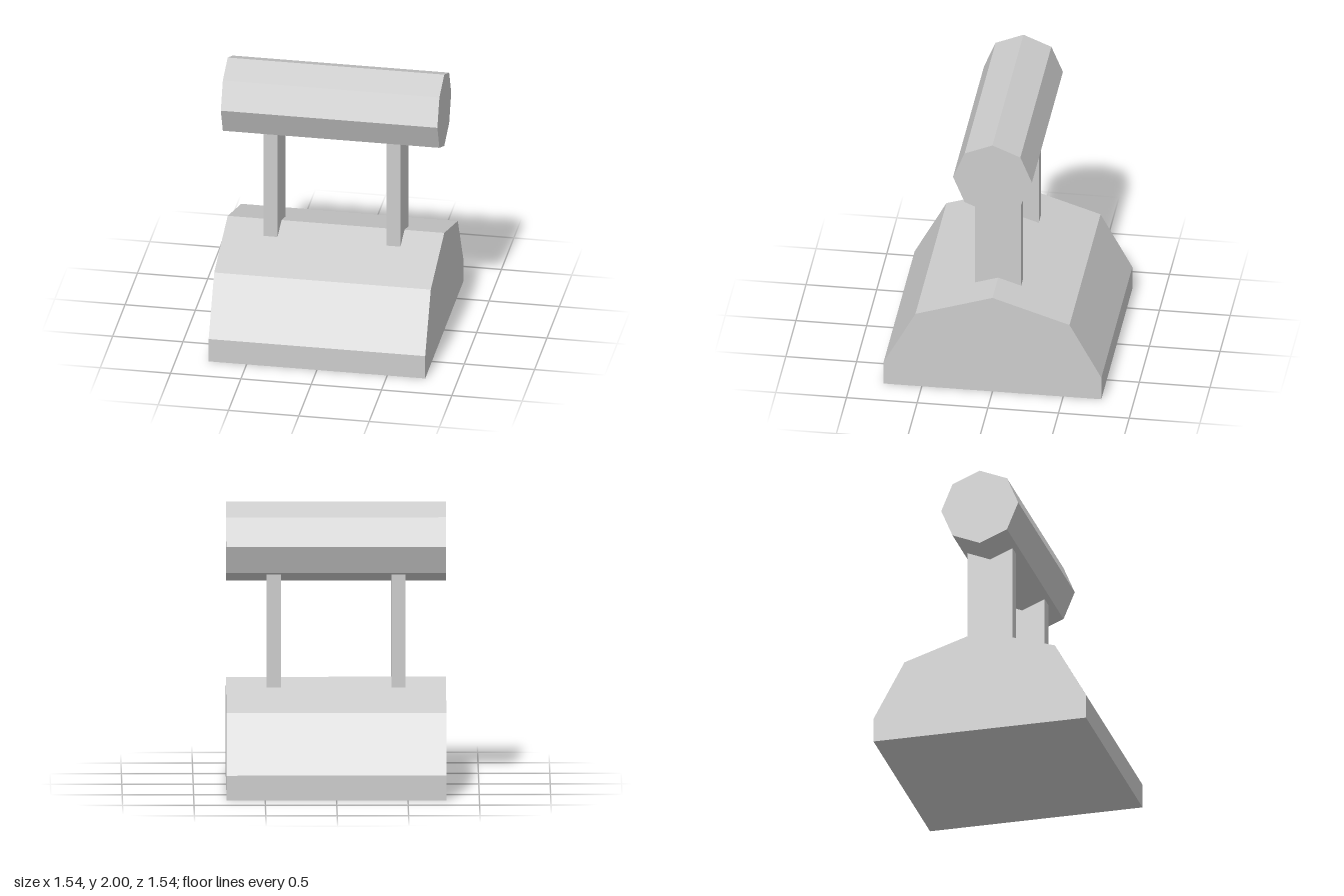
import * as THREE from 'three';

const WIDTH = 1.54;

export function createModel() {
  const model = new THREE.Group();
  const material = new THREE.MeshStandardMaterial({ color: 0xcccccc, flatShading: true });
  const add = (name, geometry, x, y, z) => {
    const mesh = new THREE.Mesh(geometry, material);
    mesh.name = name;
    mesh.position.set(x, y, z);
    model.add(mesh);
  };

  // Base: a faceted hump profile, mirrored front to back and extruded across the width
  const half = [[0.77, 0], [0.77, 0.175], [0.545, 0.585]];
  const mirrored = half.map(([z, y]) => [-z, y]).reverse();
  const profile = [...half, [0, 0.76], ...mirrored].map(([z, y]) => new THREE.Vector2(z, y));
  const base = new THREE.ExtrudeGeometry(new THREE.Shape(profile), { depth: WIDTH, bevelEnabled: false });
  base.translate(0, 0, -WIDTH / 2).rotateY(Math.PI / 2);
  add('base', base, 0, 0, 0);

  // Two flat posts, sunk into the base and the grip
  for (const side of [1, -1]) {
    add(side > 0 ? 'leftPost' : 'rightPost', new THREE.BoxGeometry(0.1, 1, 0.325), side * 0.437, 1.11, 0);
  }

  // Octagonal grip bar with a corner pointing straight up
  const grip = new THREE.CylinderGeometry(0.279, 0.279, WIDTH, 8).rotateZ(Math.PI / 2);
  add('grip', grip, 0, 1.721, 0);

  return model;
}
